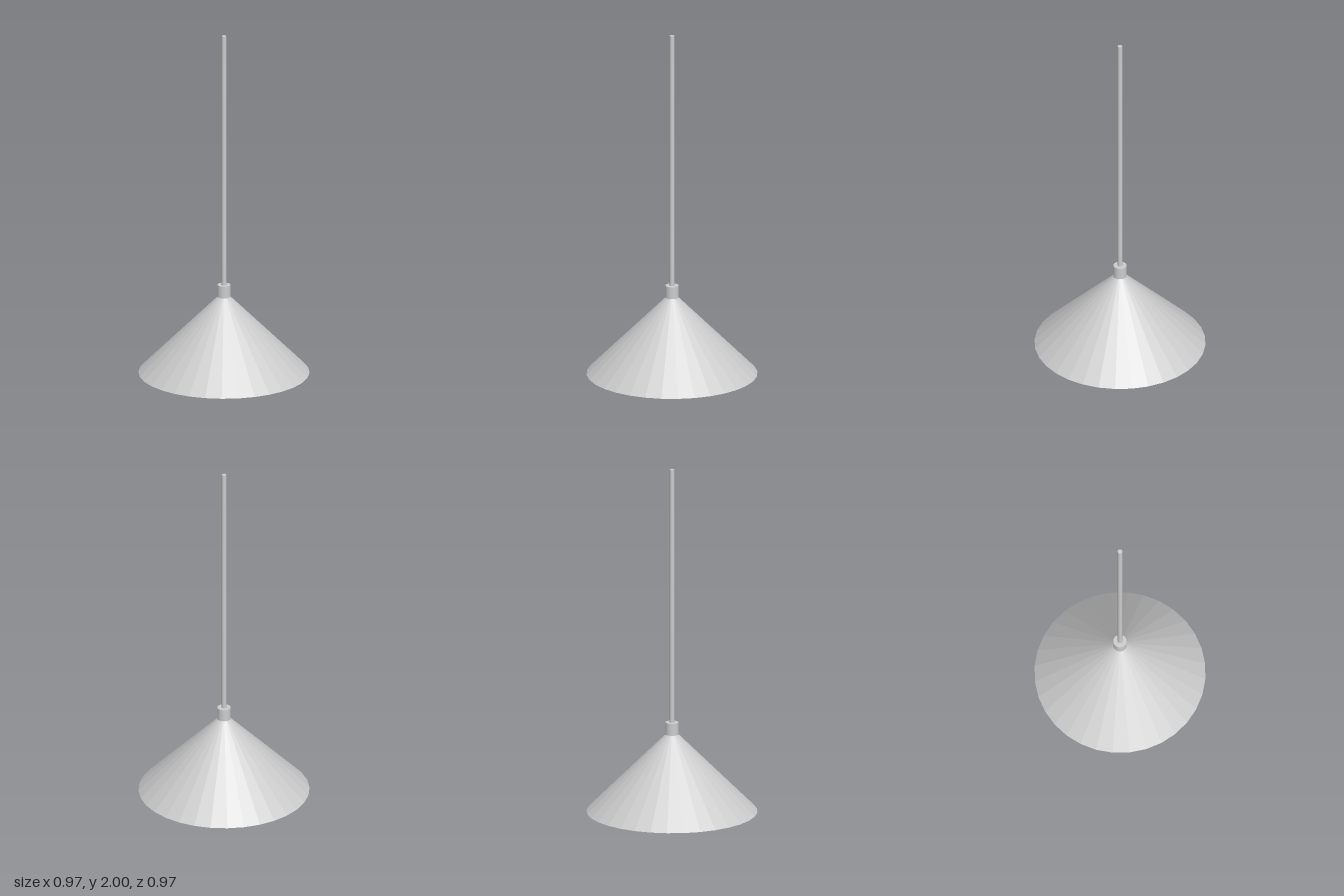
import * as THREE from 'three';

const SIDES = 32;

export function createModel() {
  const model = new THREE.Group();
  const flat = new THREE.MeshStandardMaterial({ color: 0xcccccc, flatShading: true });
  const smooth = new THREE.MeshStandardMaterial({ color: 0xcccccc });

  const add = (name, geometry, material, y = 0) => {
    const mesh = new THREE.Mesh(geometry, material);
    mesh.name = name;
    mesh.position.y = y;
    model.add(mesh);
  };

  // Upright cylinder given by its radius and its bottom and top heights
  const addCylinder = (name, radius, bottom, top) =>
    add(name, new THREE.CylinderGeometry(radius, radius, top - bottom, SIDES), smooth, (bottom + top) / 2);

  // Conical shade with a wall thickness: inside, rim, outside
  const profile = [[0.018, 0.45], [0.467, 0], [0.484, 0], [0.036, 0.45], [0.018, 0.45]]
    .map(([r, y]) => new THREE.Vector2(r, y));
  add('shade', new THREE.LatheGeometry(profile, SIDES), flat);

  // Cap on the shade and the hanging rod
  addCylinder('cap', 0.038, 0.45, 0.52);
  addCylinder('rod', 0.013, 0.52, 2);

  // Bulb and the holder that joins it to the cap
  add('bulb', new THREE.SphereGeometry(0.134, 32, 20), smooth, 0.19);
  addCylinder('bulbHolder', 0.03, 0.31, 0.45);

  return model;
}
